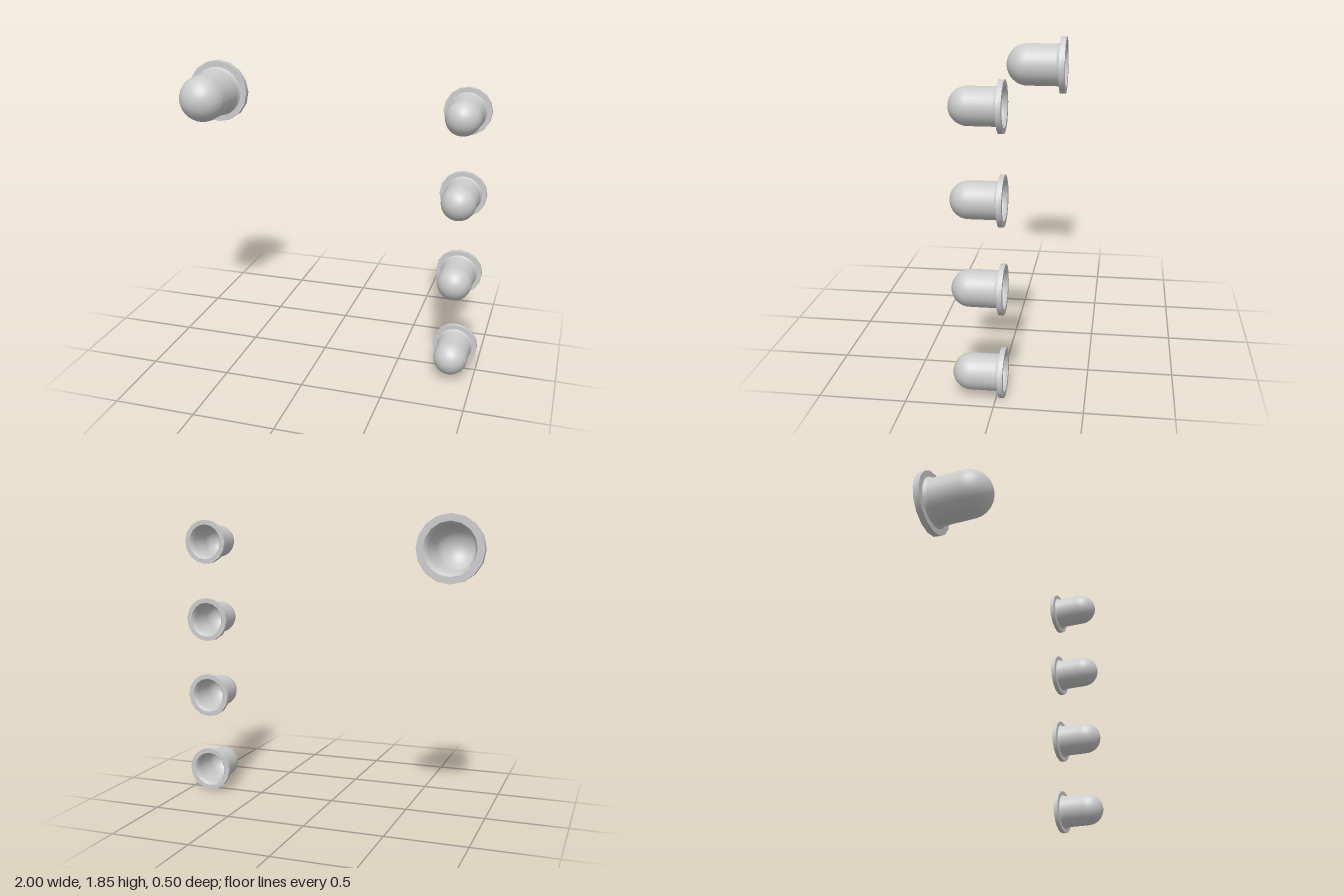
import * as THREE from 'three';
import { toCreasedNormals } from 'three/addons/utils/BufferGeometryUtils.js';

const LENGTH = 2.1, OUTER = 0.735, INNER = 0.68, PLATE = 0.2; // relative to the flange radius

// quarter circle from the wall up to the tip
function domeArc(radius, centre, steps = 10) {
  const pts = [];
  for (let i = 0; i <= steps; i++) {
    const a = (i / steps) * Math.PI / 2;
    pts.push(new THREE.Vector2(i === steps ? 0 : radius * Math.cos(a), centre + radius * Math.sin(a)));
  }
  return pts;
}

// lathe around the z axis, open end at z = 0
function turned(points, sides) {
  const geo = new THREE.LatheGeometry(points, sides);
  geo.rotateX(Math.PI / 2);
  return toCreasedNormals(geo, 0.6);
}

export function createModel() {
  const model = new THREE.Group();
  const material = new THREE.MeshStandardMaterial({ color: 0xcccccc, side: THREE.DoubleSide });
  const v = (x, y) => new THREE.Vector2(x, y);
  const centre = LENGTH - OUTER;

  // hollow domed body: inner wall, flared mouth, outer wall
  const bodyGeo = turned([
    ...domeArc(INNER, centre).reverse(),
    v(INNER, 0.25), v(0.71, 0.1), v(0.8, 0),
    v(0.8, PLATE), v(0.755, 0.25), v(OUTER, 0.34),
    ...domeArc(OUTER, centre),
  ], 32);

  // flat ring around the mouth
  const flangeGeo = turned([v(0.79, 0), v(1, 0), v(1, PLATE), v(0.76, PLATE)], 16);

  function addCap(name, x, y, z, radius) {
    const cap = new THREE.Group();
    cap.name = name;
    const body = new THREE.Mesh(bodyGeo, material);
    body.name = 'domedBody';
    const flange = new THREE.Mesh(flangeGeo, material);
    flange.name = 'flange';
    cap.add(body, flange);
    cap.position.set(x, y, z);
    cap.scale.setScalar(radius);
    model.add(cap);
  }

  // one large cap, and a column of four small ones
  addCap('largeCap', -0.8, 1.648, -0.25, 0.2);
  for (let i = 0; i < 4; i++) addCap(`smallCap${i + 1}`, 0.858, 0.1425 + i * 0.508, -0.05, 0.142);

  return model;
}
